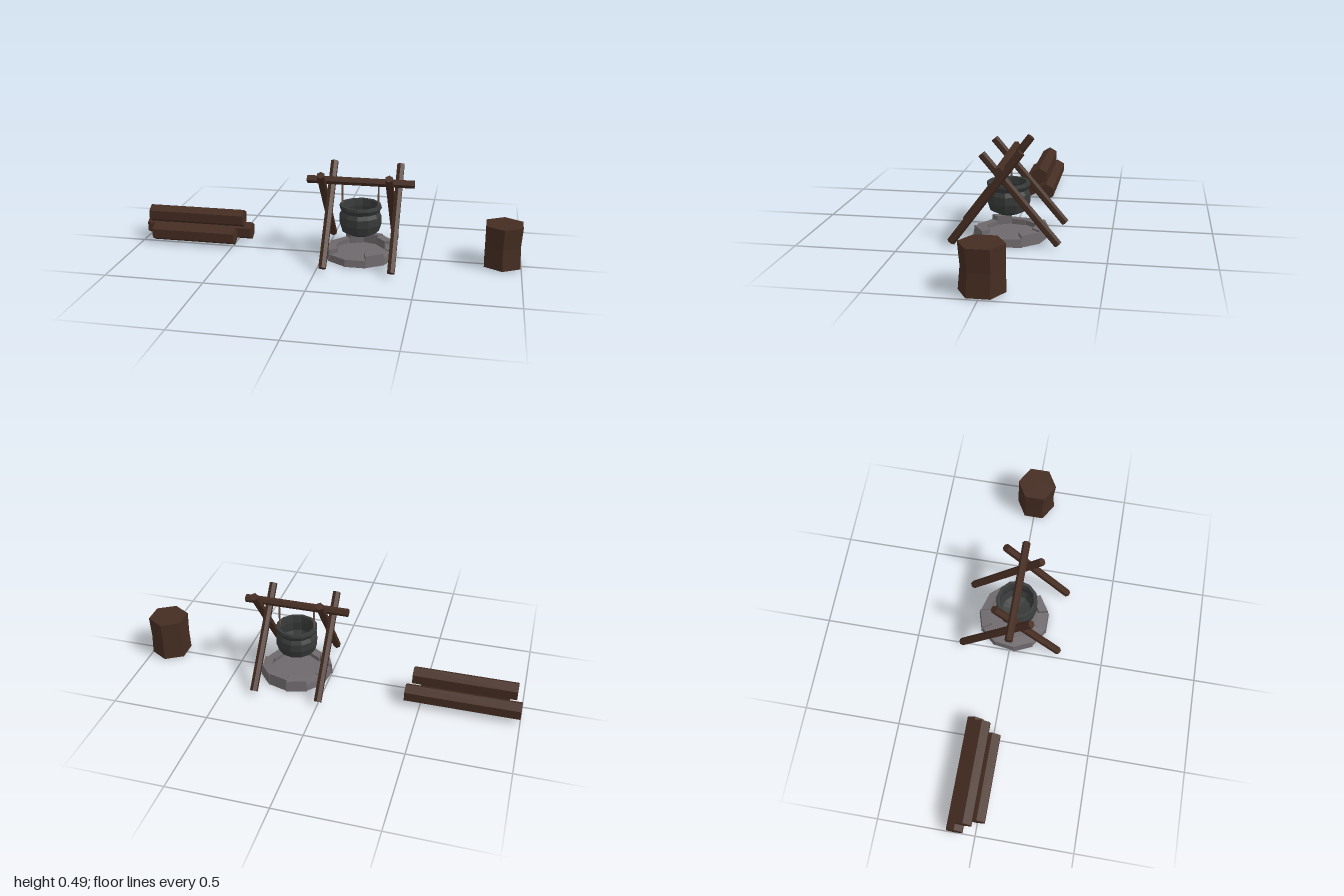
import * as THREE from 'three';

export function createModel() {
  const root = new THREE.Group();
  const wood = new THREE.MeshStandardMaterial({ color: 0x452d22 });
  const iron = new THREE.MeshStandardMaterial({ color: 0x383a3a });
  const stone = new THREE.MeshStandardMaterial({ color: 0x6e696c });
  const cord = new THREE.MeshStandardMaterial({ color: 0x6a5346 });
  wood.name = 'wood'; iron.name = 'iron'; stone.name = 'stone'; cord.name = 'cord';

  // Faceted mesh: split faces so every facet has its own normal
  const add = (name, geometry, material, x = 0, y = 0, z = 0, parent = root) => {
    const flat = geometry.index ? geometry.toNonIndexed() : geometry;
    flat.computeVertexNormals();
    const mesh = new THREE.Mesh(flat, material);
    mesh.name = name;
    mesh.position.set(x, y, z);
    parent.add(mesh);
    return mesh;
  };
  const hex = (r, length) => new THREE.CylinderGeometry(r, r, length, 6);
  const reshape = (geometry, rule) => {
    const p = geometry.attributes.position;
    const v = new THREE.Vector3();
    for (let i = 0; i < p.count; i++) {
      rule(v.fromBufferAttribute(p, i));
      p.setXYZ(i, v.x, v.y, v.z);
    }
    return geometry;
  };

  // Log pile
  const pile = new THREE.Group();
  pile.name = 'logPile';
  root.add(pile);
  for (const [name, x0, x1, y, z] of [
    ['backLog', -1, -0.42, 0.055, -0.103],
    ['frontLog', -0.935, -0.487, 0.055, -0.002],
    ['topLog', -0.97, -0.45, 0.138, -0.06],
  ]) {
    const log = hex(0.047, x1 - x0).rotateZ(Math.PI / 2).rotateX(Math.PI / 2);
    add(name, log, wood, (x0 + x1) / 2, y, z, pile);
  }

  // Stump seat with a slight waist
  const stump = reshape(new THREE.CylinderGeometry(0.104, 0.104, 0.215, 6, 2), (v) => {
    if (Math.abs(v.y) < 0.01) {
      v.x = v.x * 0.96 - 0.003;
      v.z = v.z * 0.95 - 0.004;
    }
  });
  add('stump', stump, wood, 0.907, 0.1125, 0);

  // Crossed legs at both ends of the frame
  const frame = new THREE.Group();
  frame.name = 'cookingFrame';
  root.add(frame);
  const leg = (name, x, y0, z0, y1, z1) => {
    const pole = hex(0.0205, Math.hypot(y1 - y0, z1 - z0)).rotateX(Math.atan2(z1 - z0, y1 - y0));
    add(name, pole, wood, x, (y0 + y1) / 2, (z0 + z1) / 2, frame);
  };
  for (const [side, x] of [['right', 0], ['left', 0.34]]) {
    leg(side + 'FrontLeg', x + 0.035, 0.019, 0.259, 0.475, -0.082);
    leg(side + 'BackLeg', x - 0.002, 0.02, -0.257, 0.452, 0.111);
  }
  add('crossbar', hex(0.0205, 0.545).rotateZ(Math.PI / 2), wood, 0.183, 0.4, 0.012, frame);

  // Hanging pot, open on top, with a flared rim
  const profile = [
    [0, 0.11], [0.055, 0.122], [0.096, 0.143], [0.109, 0.185], [0.108, 0.225], [0.097, 0.245],
    [0.109, 0.268], [0.106, 0.281], [0.09, 0.281], [0.085, 0.245], [0.093, 0.19], [0.075, 0.15], [0, 0.135],
  ].map(([r, y]) => new THREE.Vector2(r, y));
  add('pot', new THREE.LatheGeometry(profile, 12), iron, 0.185, 0, 0.008);
  for (const x of [0.091, 0.276]) {
    add('potHanger', new THREE.CylinderGeometry(0.005, 0.005, 0.15, 6), cord, x, 0.325, 0.008);
  }

  // Fire ring of uneven stones around a flat hearth
  const ring = new THREE.Group();
  ring.name = 'fireRing';
  ring.position.set(0.185, 0, -0.005);
  root.add(ring);
  const heights = [0.042, 0.066, 0.04, 0.045, 0.062, 0.07, 0.064, 0.042, 0.046, 0.064, 0.04];
  const step = (Math.PI * 2) / heights.length;
  heights.forEach((h, i) => {
    const block = reshape(new THREE.BoxGeometry(1, 1, 1), (v) => {
      const angle = (i + v.x) * step;
      const top = v.y > 0;
      const outer = v.z > 0;
      const r = outer ? (top ? 0.186 : 0.192) - (i % 3) * 0.003 : 0.13 + (i % 2) * 0.006;
      v.set(r * Math.sin(angle), top ? h - (outer ? 0.004 : 0) : 0.002, r * Math.cos(angle));
    });
    add('ringStone', block, stone, 0, 0, 0, ring);
  });
  add('hearth', new THREE.CylinderGeometry(0.15, 0.15, 0.018, 11), stone, 0, 0.009, 0, ring);

  return root;
}
